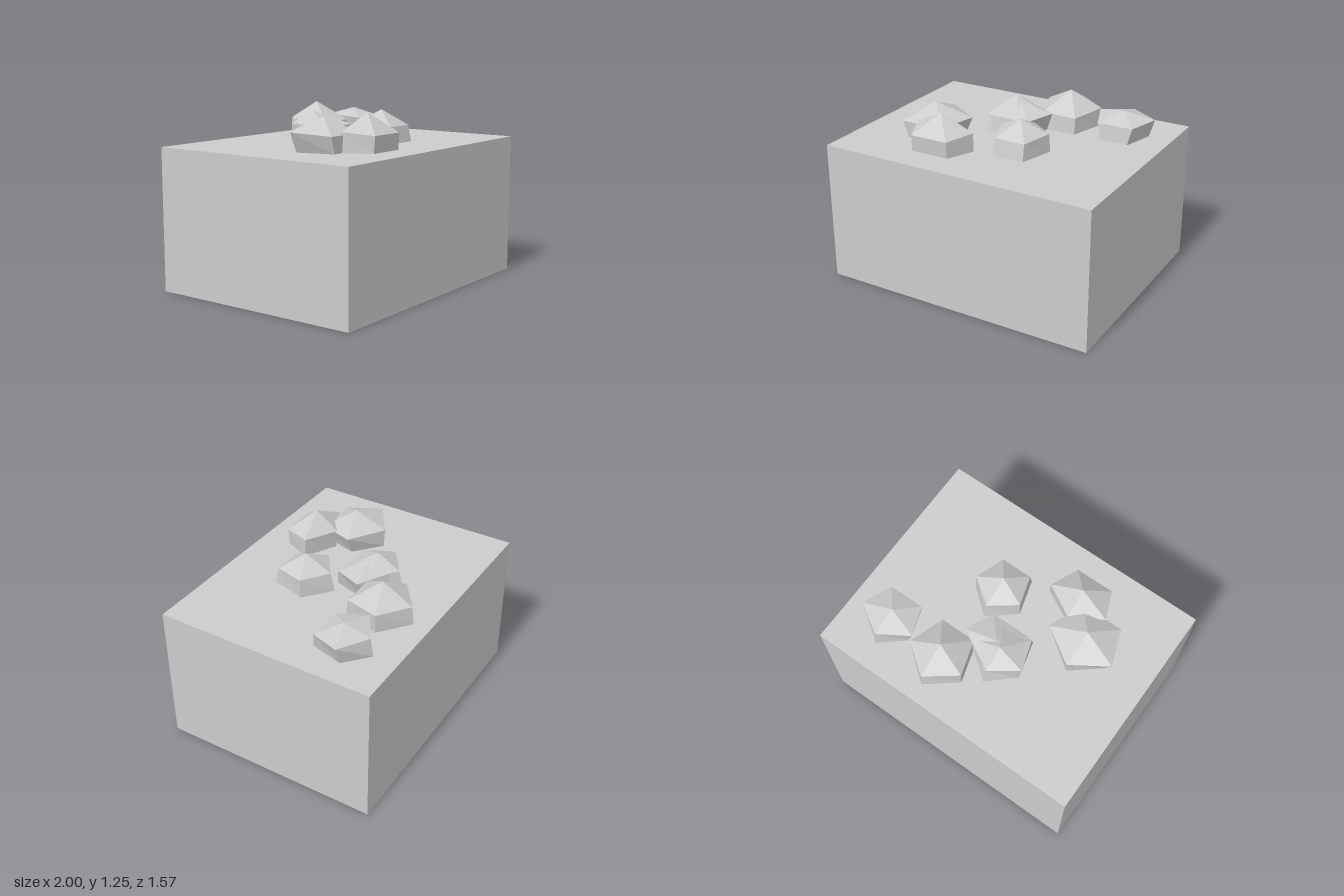
import * as THREE from 'three';

const SIDES = 5;
const GROUND = 1;
// heights of the shoulder corners: back, right, front right, front left, left
const SHOULDER = [1.13, 1.13, 1.115, 1.115, 1.135];

// Each rock: centre, peak height and depth, half-widths and half-depths of shoulder and foot rings
const ROCKS = [
  { x: 0.66, z: -0.405, peakY: 1.18, peakZ: -0.4, top: [0.218, 0.187], foot: [0.174, 0.205] },
  { x: 0.235, z: -0.426, peakY: 1.25, peakZ: -0.43, top: [0.22, 0.224], foot: [0.218, 0.238] },
  { x: -0.085, z: -0.18, peakY: 1.22, peakZ: -0.215, top: [0.202, 0.195], foot: [0.19, 0.232] },
  { x: -0.035, z: -0.16, peakY: 1.19, peakZ: -0.18, top: [0.247, 0.18], foot: [0.2, 0.205] },
  { x: -0.49, z: 0.198, peakY: 1.225, peakZ: 0.2, top: [0.261, 0.232], foot: [0.2, 0.227] },
  { x: -0.303, z: 0.432, peakY: 1.25, peakZ: 0.42, top: [0.234, 0.181], foot: [0.237, 0.171] },
  { x: 0.181, z: 0.191, peakY: 1.225, peakZ: 0.195, top: [0.19, 0.192], foot: [0.195, 0.221] },
];

// Pentagon corners on an ellipse, starting at the back and running towards +x
function ring({ x, z }, [rx, rz], heightAt) {
  return Array.from({ length: SIDES }, (_, i) => {
    const angle = (i / SIDES) * Math.PI * 2;
    return [x + rx * Math.sin(angle), heightAt(i), z - rz * Math.cos(angle)];
  });
}

// Faceted rock: a pointed cap on a ring of nearly upright walls
function rockGeometry(rock) {
  const peak = [rock.x, rock.peakY, rock.peakZ];
  const upper = ring(rock, rock.top, (i) => SHOULDER[i]);
  const lower = ring(rock, rock.foot, () => GROUND);
  const pos = [];
  for (let i = 0; i < SIDES; i++) {
    const j = (i + 1) % SIDES;
    pos.push(...peak, ...upper[j], ...upper[i]);
    pos.push(...upper[j], ...lower[j], ...lower[i]);
    pos.push(...upper[j], ...lower[i], ...upper[i]);
  }
  const geo = new THREE.BufferGeometry();
  geo.setAttribute('position', new THREE.Float32BufferAttribute(pos, 3));
  geo.computeVertexNormals();
  return geo;
}

export function createModel() {
  const model = new THREE.Group();
  model.name = 'rocksOnBlock';
  const stone = new THREE.MeshStandardMaterial({ color: 0xcccccc });
  stone.name = 'light grey stone';

  // ground block
  const block = new THREE.Mesh(new THREE.BoxGeometry(2, GROUND, 1.57), stone);
  block.name = 'groundBlock';
  block.position.y = GROUND / 2;
  model.add(block);

  // scattered rocks
  const rocks = new THREE.Group();
  rocks.name = 'rocks';
  ROCKS.forEach((rock, i) => {
    const mesh = new THREE.Mesh(rockGeometry(rock), stone);
    mesh.name = `rock${i + 1}`;
    rocks.add(mesh);
  });
  model.add(rocks);
  return model;
}
